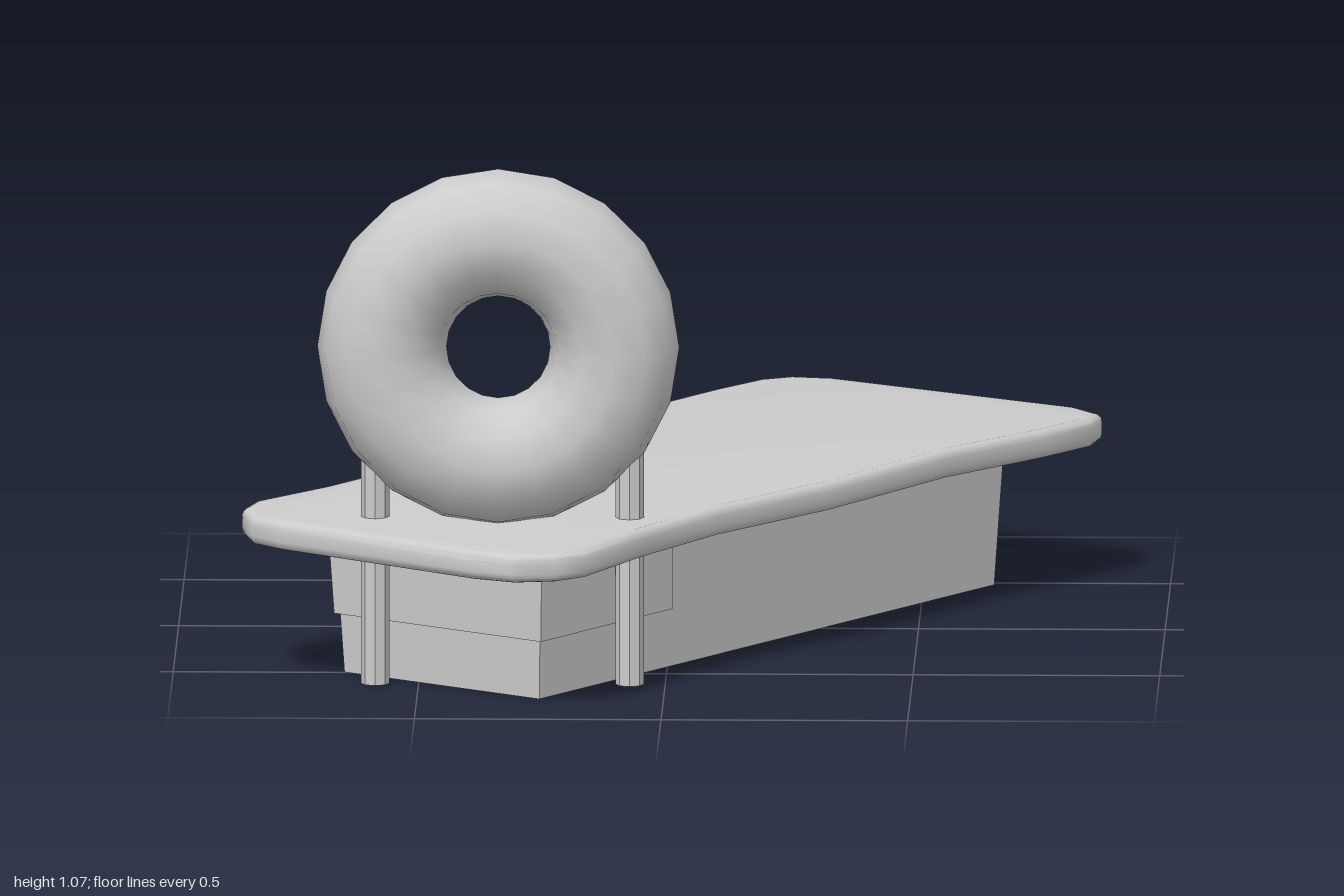
import * as THREE from 'three';
import { toCreasedNormals } from 'three/addons/utils/BufferGeometryUtils.js';

const smooth = new THREE.MeshStandardMaterial({ color: 0xcccccc, side: THREE.DoubleSide });
const flat = new THREE.MeshStandardMaterial({ color: 0xcccccc, flatShading: true, side: THREE.DoubleSide });

function add(parent, name, geometry, material) {
  const mesh = new THREE.Mesh(geometry, material);
  mesh.name = name;
  parent.add(mesh);
  return mesh;
}

// Move every vertex by a rule
function deform(geometry, rule) {
  const p = geometry.attributes.position;
  const v = new THREE.Vector3();
  for (let i = 0; i < p.count; i++) {
    v.fromBufferAttribute(p, i);
    rule(v);
    p.setXYZ(i, v.x, v.y, v.z);
  }
  geometry.computeVertexNormals();
  return geometry;
}

// Outline in (x, z) extruded downwards from y = top
function slab(points, top, height, bevel = 0) {
  const shape = new THREE.Shape(points.map(([x, z]) => new THREE.Vector2(x, z)));
  const geometry = new THREE.ExtrudeGeometry(shape, {
    depth: height - 2 * bevel, bevelEnabled: bevel > 0, bevelSize: bevel,
    bevelThickness: bevel, bevelOffset: -bevel, bevelSegments: 3,
  });
  return geometry.rotateX(Math.PI / 2).translate(0, top - bevel, 0);
}

// Base walls lean outwards towards the top
const lean = (v) => {
  v.x += Math.sign(v.x) * 0.05 * v.y;
  v.z += Math.sign(v.z) * 0.05 * v.y;
};

export function createModel() {
  const model = new THREE.Group();
  model.name = 'bed';

  // Wavy mattress with rounded edges, slightly raised in the middle
  const outline = [
    [0.22, -1], [0.31, -0.98], [0.81, -0.63], [0.86, -0.55], [0.845, -0.48], [0.75, -0.34],
    [0.56, -0.11], [0.33, 0.25], [0.11, 0.51], [-0.04, 0.74], [-0.15, 0.94], [-0.21, 0.985],
    [-0.3, 1], [-0.39, 0.96], [-0.78, 0.68], [-0.84, 0.62], [-0.86, 0.53], [-0.835, 0.45],
    [-0.7, 0.3], [-0.52, 0.05], [-0.36, -0.23], [-0.1, -0.57], [0.06, -0.83], [0.15, -0.96],
  ];
  const mattress = deform(slab(outline, 0.335, 0.06, 0.018), (v) => {
    v.y += 0.014 * Math.cos(v.z * Math.PI / 2) + 0.003 * v.z;
  });
  add(model, 'mattress', toCreasedNormals(mattress, 0.6), smooth);

  // Base set at an angle, open underneath
  const base = new THREE.Group();
  base.name = 'base';
  base.position.set(-0.005, 0, 0.008);
  base.rotation.y = -0.617;
  model.add(base);

  const w = 0.246, l = 0.773;
  const walls = new THREE.CylinderGeometry(Math.SQRT2, Math.SQRT2, 0.3, 4, 1, true)
    .rotateY(Math.PI / 4).scale(w, 1, l).translate(0, 0.15, 0);
  add(base, 'baseWalls', deform(walls, lean), flat);

  // Raised band wrapping the front end of the base
  const e = 0.009, back = 0.335;
  const band = slab([
    [-w - e, back], [-w + e, back], [-w + e, l - e], [w - e, l - e],
    [w - e, back], [w + e, back], [w + e, l + e], [-w - e, l + e],
  ], 0.262, 0.14);
  add(base, 'frontBand', deform(band, lean), flat);

  // Posts carrying the ring
  for (const [name, x] of [['rightPost', -0.588], ['leftPost', -0.072]]) {
    add(model, name, new THREE.CylinderGeometry(0.029, 0.029, 0.53, 8), flat)
      .position.set(x, 0.265, 0.614);
  }

  // Ring headrest
  add(model, 'ringHeadrest', new THREE.TorusGeometry(0.236, 0.131, 12, 20), smooth)
    .position.set(-0.338, 0.698, 0.631);

  return model;
}
